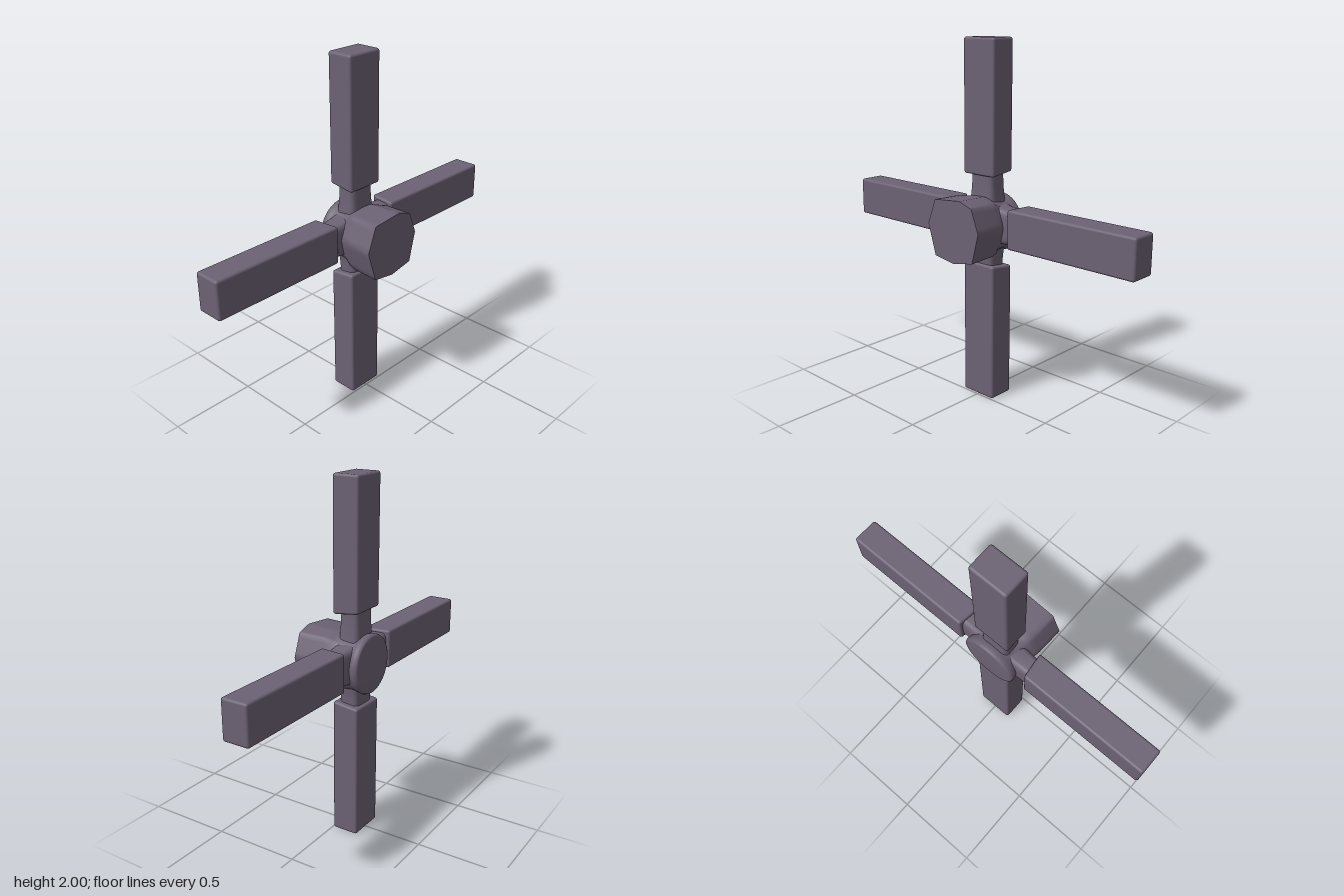
import * as THREE from 'three';
import { RoundedBoxGeometry } from 'three/addons/geometries/RoundedBoxGeometry.js';

// Irregular eight-sided outline of the hub nose, around the hub axis
const NOSE = [[0.183, 0.02], [0.135, 0.145], [0.05, 0.173], [-0.13, 0.157],
  [-0.183, 0.02], [-0.13, -0.152], [0, -0.172], [0.14, -0.145]];
const STEPS = 5;

// Hub: loft from a round back to the faceted nose, with separate caps for crisp rims
function hubGeometry() {
  const outline = NOSE.flatMap(([x, y], i) => {
    const [nx, ny] = NOSE[(i + 1) % NOSE.length];
    return Array.from({ length: STEPS }, (_, k) => {
      const t = k / STEPS;
      return [x + (nx - x) * t, y + (ny - y) * t];
    });
  });
  // Each section: [z, radius of round part, share of nose outline, scale]
  const runs = [
    [[-0.19, 0, 0, 1], [-0.19, 0.152, 0, 1], [-0.185, 0.162, 0, 1], [-0.17, 0.167, 0, 1],
      [-0.15, 0.163, 0, 1], [-0.12, 0.155, 0, 1], [-0.04, 0.157, 0.2, 1],
      [-0.01, 0.163, 0.7, 0.98], [0.03, 0.17, 1, 0.98], [0.19, 0.17, 1, 1.01]],
    [[0.19, 0, 1, 1.01], [0.19, 0, 1, 0]],
  ];
  const n = outline.length, pos = [], index = [];
  for (const run of runs) {
    run.forEach(([z, r, share, scale], row) => {
      const base = pos.length / 3;
      for (let j = 0; j < n; j++) {
        const [x, y] = outline[j], a = Math.atan2(y, x);
        pos.push(scale * (r * Math.cos(a) * (1 - share) + x * share),
          scale * (r * Math.sin(a) * (1 - share) + y * share), z);
        if (row === 0) continue;
        const k = (j + 1) % n, p = base - n;
        index.push(p + j, p + k, base + k, p + j, base + k, base + j);
      }
    });
  }
  const g = new THREE.BufferGeometry();
  g.setAttribute('position', new THREE.Float32BufferAttribute(pos, 3));
  g.setIndex(index);
  g.computeVertexNormals();
  return g;
}

// Blade running along +y, its inner end slightly slanted
function bladeGeometry(start, end) {
  const g = new RoundedBoxGeometry(0.218, end - start, 0.154, 3, 0.014);
  g.translate(0, (start + end) / 2, -0.082);
  const p = g.attributes.position;
  for (let i = 0; i < p.count; i++) {
    if (p.getY(i) < start + 0.05) p.setY(i, p.getY(i) - (p.getZ(i) + 0.082) * 0.12);
  }
  return g;
}

// Neck between hub and blade: a rounded block flared at the hub end
function neckGeometry(width, end) {
  const g = new THREE.CylinderGeometry(1, 1, 1, 32, 8, true);
  const p = g.attributes.position;
  for (let i = 0; i < p.count; i++) {
    const t = p.getY(i) + 0.5;
    const flare = 1 + 0.18 * (1 - t) ** 2;
    const soften = (v) => Math.sign(v) * Math.abs(v) ** 0.45;
    p.setXYZ(i, soften(p.getX(i)) * width / 2 * flare, 0.1 + t * (end - 0.1),
      soften(p.getZ(i)) * 0.058 * flare - 0.082);
  }
  g.computeVertexNormals();
  return g;
}

export function createModel() {
  const model = new THREE.Group();
  model.name = 'rotor';
  const mauve = new THREE.MeshStandardMaterial({ color: 0x6c6274 });
  mauve.name = 'mauve grey';

  const add = (parent, geometry, name) => {
    const mesh = new THREE.Mesh(geometry, mauve);
    mesh.name = name;
    parent.add(mesh);
  };

  const hub = new THREE.Group();
  hub.name = 'hubGroup';
  hub.position.y = 1;
  add(hub, hubGeometry(), 'hub');
  model.add(hub);

  // Four arms: name, turn, inner end, outer end, neck width, axis height
  const arms = [
    ['top', 0, 0.285, 1, 0.155, 1],
    ['right', Math.PI / 2, 0.215, 1, 0.185, 1.012],
    ['bottom', Math.PI, 0.225, 1, 0.155, 1],
    ['left', -Math.PI / 2, 0.215, 1, 0.185, 1.012],
  ];
  for (const [name, turn, start, end, width, height] of arms) {
    const arm = new THREE.Group();
    arm.name = name + 'Arm';
    arm.position.y = height;
    arm.rotation.z = turn;
    add(arm, bladeGeometry(start, end), name + 'Blade');
    add(arm, neckGeometry(width, start + 0.02), name + 'Neck');
    model.add(arm);
  }
  return model;
}
